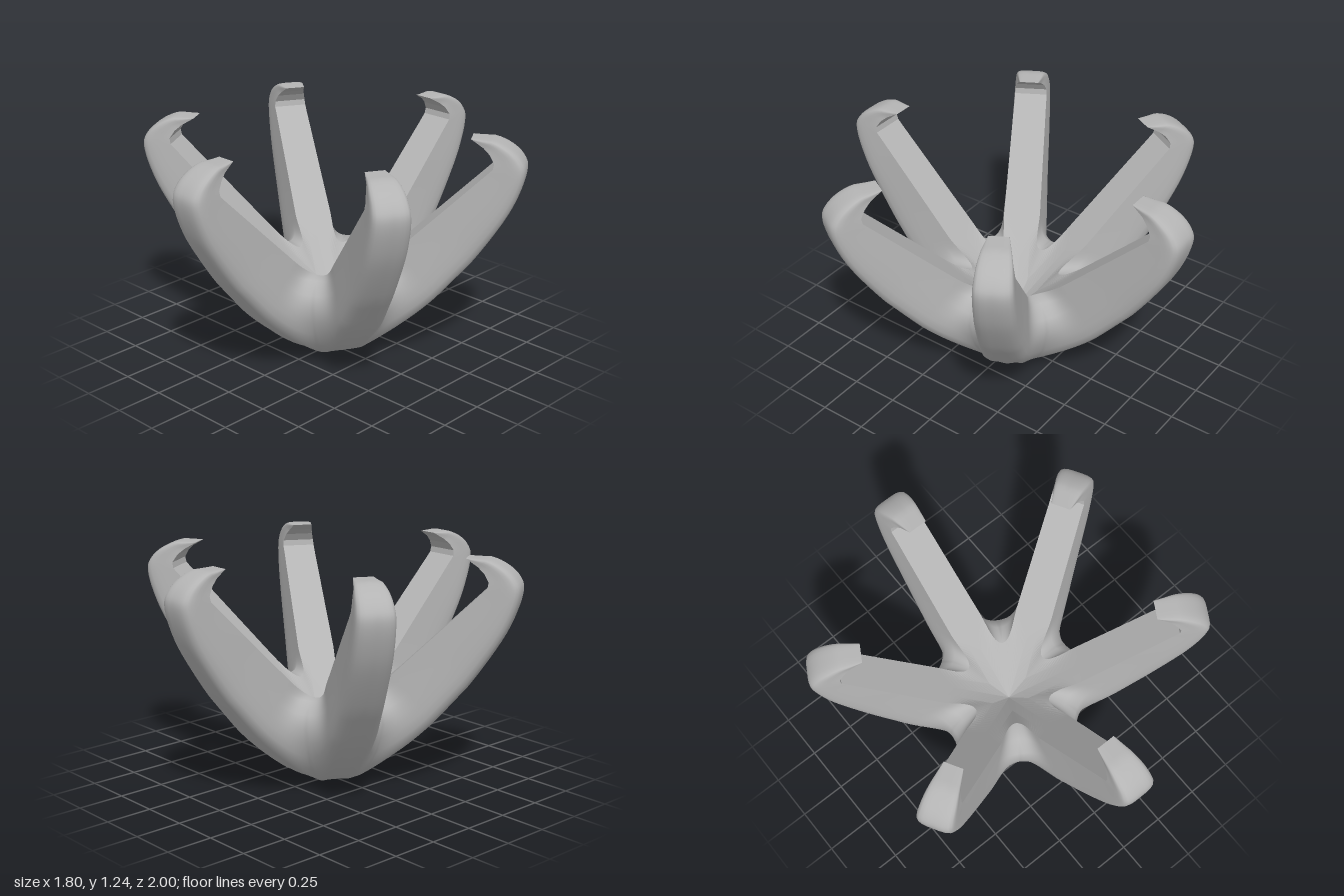
import * as THREE from 'three';
import { mergeVertices } from 'three/addons/utils/BufferGeometryUtils.js';

const ARMS = 6;
const EDGE = 9; // index of the sharp inner edge within a half section

// Arm stations: outer point (z, y), inner point (z, y), outer and inner half width
const STATIONS = [
  [0.60, 0.40, 0.37, 0.63, 0.135, 0.098],
  [0.75, 0.58, 0.535, 0.795, 0.122, 0.094],
  [0.90, 0.81, 0.725, 0.985, 0.114, 0.09],
  [0.97, 0.96, 0.80, 1.06, 0.109, 0.088],
  [1.00, 1.08, 0.84, 1.10, 0.103, 0.088],
  [0.98, 1.145, 0.845, 1.13, 0.097, 0.085],
  [0.92, 1.20, 0.82, 1.17, 0.09, 0.075],
  [0.83, 1.238, 0.785, 1.20, 0.075, 0.062],
  [0.72, 1.238, 0.72, 1.238, 0.05, 0.05],
];

// Half section, outer middle to inner middle: [width share, depth share]
const SECTION = [
  [0, 0], [0.3, 0], [0.55, 0.012], [0.76, 0.05], [0.9, 0.13], [0.97, 0.25],
  [1, 0.42], [1, 0.62], [1, 0.82], [1, 1], [0.5, 1], [0, 1],
];

// Valley between two arms, bottom centre over the crest to inner centre: [radius, y]
const VALLEY = [
  [0, 0], [0.14, 0.02], [0.22, 0.06], [0.29, 0.13], [0.35, 0.22], [0.385, 0.31],
  [0.4, 0.385], [0.385, 0.455], [0.32, 0.512], [0.23, 0.505], [0.115, 0.375], [0, 0.265],
];

// One lengthwise line of the arm, from the valley to the claw tip
function armLine(j) {
  const [w, f] = SECTION[j];
  const [r, vy] = VALLEY[j];
  const pts = STATIONS.map(([oz, oy, iz, iy, wo, wi]) => new THREE.Vector3(
    w * THREE.MathUtils.lerp(wo, wi, f),
    THREE.MathUtils.lerp(oy, iy, f),
    THREE.MathUtils.lerp(oz, iz, f)));
  const start = new THREE.Vector3(r * 0.5, vy, r * Math.sqrt(0.75));

  // fillet: leaves the valley square to its plane and joins the arm smoothly
  const chord = start.distanceTo(pts[0]);
  const step = pts[1].clone().sub(pts[0]);
  const t1 = step.clone().multiplyScalar((j < EDGE ? 1.2 : 1) * chord / step.length());
  const t0 = new THREE.Vector3(-Math.sqrt(0.75), 0, 0.5).multiplyScalar(0.6 * r);
  if (j === 0) t0.set(0, 0, 0.5);
  if (j > EDGE) t0.copy(pts[0]).sub(start);
  const line = [];
  const n = 14;
  for (let i = 0; i < n; i++) {
    const t = i / n, t2 = t * t, t3 = t2 * t;
    line.push(start.clone().multiplyScalar(2 * t3 - 3 * t2 + 1)
      .addScaledVector(t0, t3 - 2 * t2 + t)
      .addScaledVector(pts[0], 3 * t2 - 2 * t3)
      .addScaledVector(t1, t3 - t2));
  }

  // arm and claw; the inner faces keep their straight facets
  for (let k = 0; k < pts.length - 1; k++) {
    const a = pts[Math.max(k - 1, 0)], b = pts[k], c = pts[k + 1];
    const d = pts[Math.min(k + 2, pts.length - 1)];
    const curve = new THREE.CatmullRomCurve3([a, b, c, d], false, 'catmullrom', 0.5);
    for (let i = 0; i < 4; i++) {
      if (j >= EDGE || k === 0 || k === pts.length - 2) line.push(b.clone().lerp(c, i / 4));
      else line.push(curve.getPoint((1 + i / 4) / 3));
    }
  }
  line.push(pts[pts.length - 1]);
  return line;
}

// Skin a range of lines, mirrored across each arm and repeated around the centre
function skin(lines) {
  const pos = [];
  const index = [];
  const up = new THREE.Vector3(0, 1, 0);
  const len = lines[0].length;
  for (let arm = 0; arm < ARMS; arm++) {
    for (const side of [1, -1]) {
      const base = pos.length / 3;
      for (const line of lines) {
        for (const p of line) {
          const v = new THREE.Vector3(p.x * side, p.y, p.z).applyAxisAngle(up, arm * Math.PI * 2 / ARMS);
          pos.push(v.x, v.y, v.z);
        }
      }
      for (let j = 0; j < lines.length - 1; j++) {
        for (let i = 0; i < len - 1; i++) {
          const a = base + j * len + i, b = a + len, c = a + 1, d = b + 1;
          if (side > 0) index.push(a, b, c, b, d, c);
          else index.push(a, c, b, b, c, d);
        }
      }
    }
  }
  const geo = new THREE.BufferGeometry();
  geo.setAttribute('position', new THREE.Float32BufferAttribute(pos, 3));
  geo.setIndex(index);
  return geo;
}

export function createModel() {
  const group = new THREE.Group();
  group.name = 'sixClawGrip';
  const grey = new THREE.MeshStandardMaterial({ color: 0xb4b4b4 });
  grey.name = 'plain grey';

  const lines = SECTION.map((_, j) => armLine(j));

  // rounded outside of the body, arms and claws
  const outerGeo = mergeVertices(skin(lines.slice(0, EDGE + 1)), 1e-4);
  outerGeo.computeVertexNormals();
  const outer = new THREE.Mesh(outerGeo, grey);
  outer.name = 'outerShell';

  // faceted inside of the arms and the hook undersides
  const innerGeo = skin(lines.slice(EDGE)).toNonIndexed();
  innerGeo.computeVertexNormals();
  const inner = new THREE.Mesh(innerGeo, grey);
  inner.name = 'innerFaces';

  group.add(outer, inner);
  return group;
}
